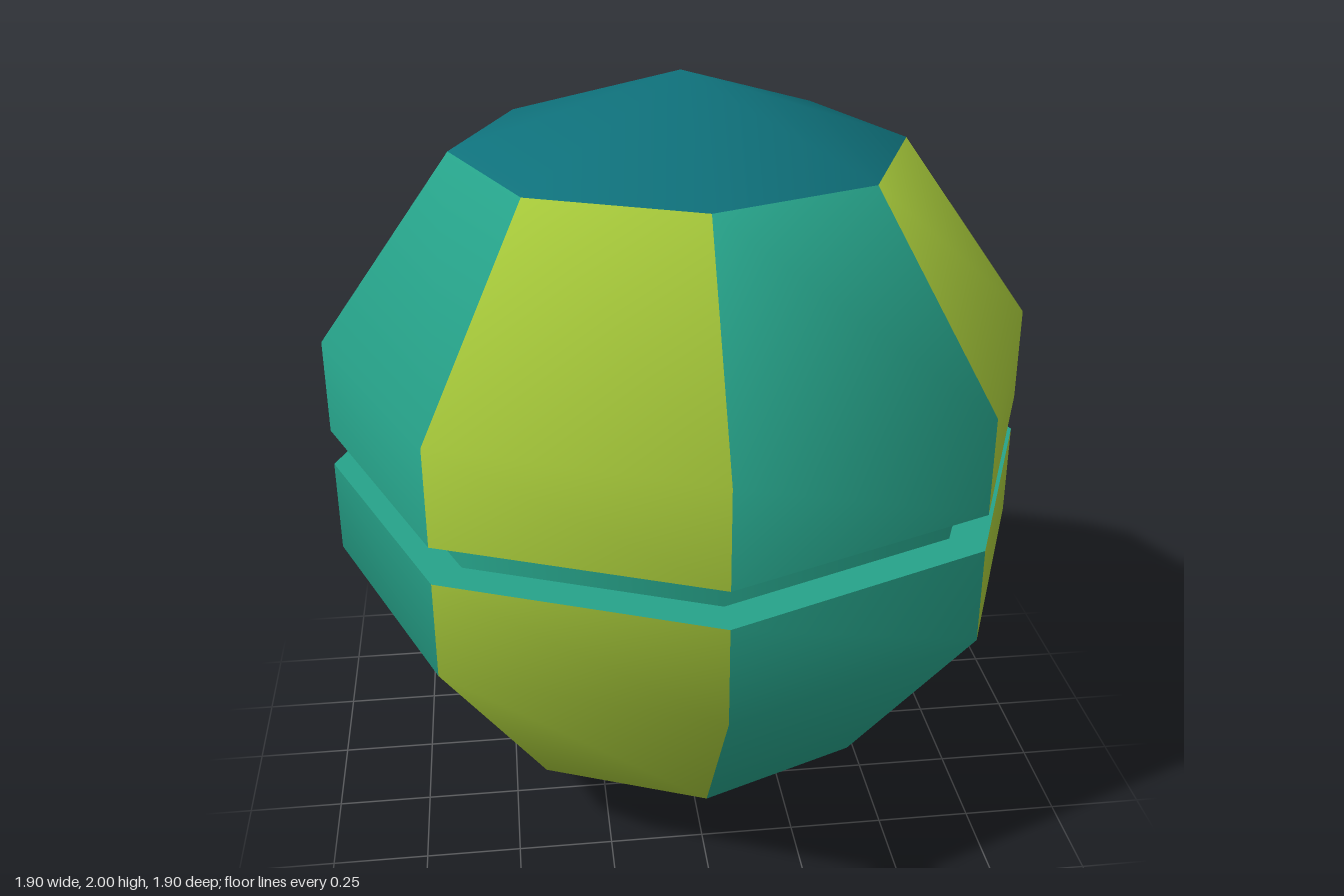
import * as THREE from 'three';

const SIDES = 8;
const lime = new THREE.MeshStandardMaterial({ name: 'lime', color: 0xa4c639 });
const teal = new THREE.MeshStandardMaterial({ name: 'teal', color: 0x26a289 });
const petrol = new THREE.MeshStandardMaterial({ name: 'petrol', color: 0x0f717b });

// Lathe from a [radius, y] profile listed bottom to top
function lathe(profile, segments = SIDES, start = 0, length = Math.PI * 2) {
  const points = profile.map(([r, y]) => new THREE.Vector2(r, y));
  return new THREE.LatheGeometry(points, segments, start, length);
}

// Shade the outer shell as one ball centred at y = 1
function ballNormals(geometry) {
  const p = geometry.attributes.position;
  const n = new THREE.Vector3();
  for (let i = 0; i < p.count; i++) {
    n.set(p.getX(i), p.getY(i) - 1, p.getZ(i)).normalize();
    geometry.attributes.normal.setXYZ(i, n.x, n.y, n.z);
  }
  return geometry;
}

export function createModel() {
  const model = new THREE.Group();
  model.name = 'segmentedBall';
  const add = (name, geometry, material) => {
    const mesh = new THREE.Mesh(geometry, material);
    mesh.name = name;
    model.add(mesh);
  };

  // Faceted end caps
  add('topCap', ballNormals(lathe([[0.59, 1.81], [0, 2]])), petrol);
  add('bottomCap', ballNormals(lathe([[0, 0], [0.59, 0.195]])), petrol);

  // Alternating panels of the two shell halves
  const upper = [[0.95, 1.053], [0.95, 1.31], [0.59, 1.81]];
  const lower = [[0.59, 0.195], [0.95, 0.695], [0.95, 0.953]];
  const step = (Math.PI * 2) / SIDES;
  for (let i = 0; i < SIDES; i++) {
    const material = i % 2 ? lime : teal;
    add(`upperPanel${i + 1}`, ballNormals(lathe(upper, 1, i * step, step)), material);
    add(`lowerPanel${i + 1}`, ballNormals(lathe(lower, 1, i * step, step)), material);
  }

  // Recessed groove around the middle
  add('grooveFloor', lathe([[0.95, 0.953], [0.85, 0.953]]), teal);
  add('grooveWall', lathe([[0.85, 0.953], [0.85, 1.053]]), teal);
  add('grooveCeiling', lathe([[0.85, 1.053], [0.95, 1.053]]), teal);

  return model;
}
